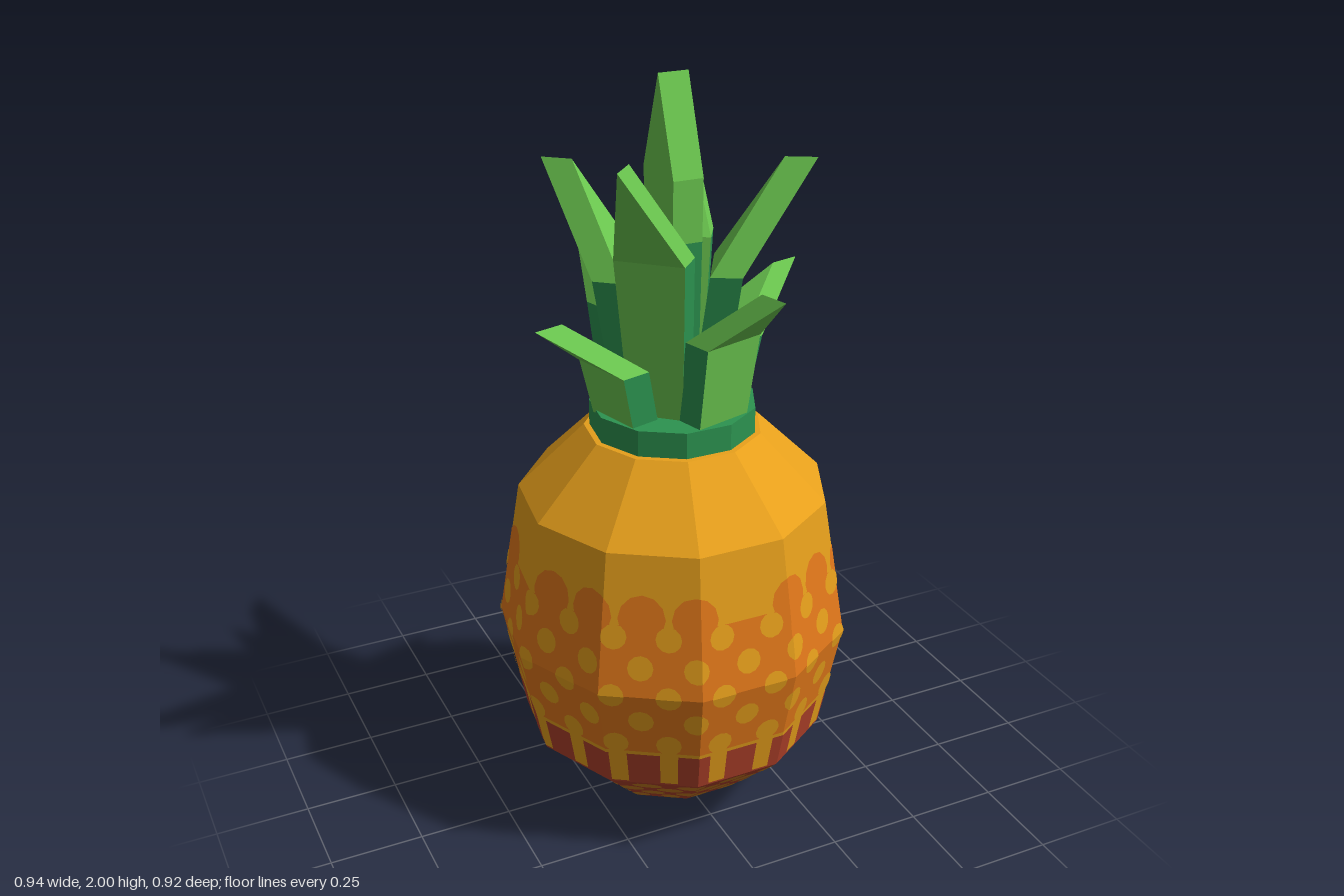
import * as THREE from 'three';

const mat = (name, color) => {
  const m = new THREE.MeshStandardMaterial({ color });
  m.name = name;
  return m;
};

const SIDES = 11;
const CENTRE_Z = 0.008;
// Body profile: [radius, height], closed at the top
const PROFILE = [[0, 0], [0.237, 0.065], [0.41, 0.235], [0.47, 0.54], [0.408, 0.915], [0.232, 1.09], [0, 1.1]];

function radiusAt(y) {
  for (let i = 1; i < PROFILE.length; i++) {
    const [r0, y0] = PROFILE[i - 1], [r1, y1] = PROFILE[i];
    if (y <= y1) return r0 + (r1 - r0) * (y - y0) / (y1 - y0);
  }
  return 0;
}

// Point on the faceted skin; u counts facets around the body
function skin(u, y, lift) {
  const i = Math.floor(u), f = u - i, r = radiusAt(y) + lift;
  const corner = k => Math.PI + k * 2 * Math.PI / SIDES;
  const a = corner(i), b = corner(i + 1);
  return [
    r * (Math.sin(a) * (1 - f) + Math.sin(b) * f), y,
    r * (Math.cos(a) * (1 - f) + Math.cos(b) * f)];
}

function flatMesh(name, positions, material) {
  const g = new THREE.BufferGeometry();
  g.setAttribute('position', new THREE.Float32BufferAttribute(positions, 3));
  g.computeVertexNormals();
  const m = new THREE.Mesh(g, material);
  m.name = name;
  return m;
}

// A slice of the body between two heights
function band(name, y0, y1, material) {
  const pts = [[radiusAt(y0), y0], ...PROFILE.filter(p => p[1] > y0 && p[1] < y1), [radiusAt(y1), y1]]
    .map(p => new THREE.Vector2(...p));
  const g = new THREE.LatheGeometry(pts, SIDES, Math.PI).toNonIndexed();
  g.computeVertexNormals();
  const m = new THREE.Mesh(g, material);
  m.name = name;
  return m;
}

// Half height of a patch across its width, from -1 to 1
const round = a => Math.sqrt(Math.max(0, 1 - a * a));
const block = () => 1;

// Thin painted patch in upright strips, folded where it crosses a body edge
function patch(out, shape, degrees, y, w, h, lift) {
  const u = (degrees - 180) * SIDES / 360;
  const du = w / (2 * Math.sin(Math.PI / SIDES) * radiusAt(y));
  const cuts = [-1, -0.87, -0.5, 0, 0.5, 0.87, 1];
  const fold = (Math.round(u) - u) / du;
  if (Math.abs(fold) < 1) cuts.push(fold);
  cuts.sort((a, b) => a - b);
  const at = (a, side) => skin(u + a * du, y + side * shape(a) * h, lift);
  for (let i = 1; i < cuts.length; i++) {
    const a = cuts[i - 1], b = cuts[i];
    if (b - a < 1e-4) continue;
    for (const [lo, hi] of [[-1, 0], [0, 1]]) {
      out.push(...at(a, lo), ...at(b, lo), ...at(b, hi));
      out.push(...at(a, lo), ...at(b, hi), ...at(a, hi));
    }
  }
}

// Leaf from cross-sections [distance, height, half width]; lower edges are dark
function leaf(name, angle, sections, thick, light, dark) {
  const rings = sections.map(([r, y, w]) => [
    [r - thick, y, w], [r + thick, y, w], [r + thick, y, -w], [r - thick, y, -w]]);
  const lightPos = [], darkPos = [];
  for (let s = 0; s < rings.length - 1; s++) {
    for (let k = 0; k < 4; k++) {
      const n = (k + 1) % 4, lo = rings[s], hi = rings[s + 1];
      const out = s === 0 && k % 2 === 0 ? darkPos : lightPos;
      out.push(...lo[k], ...lo[n], ...hi[n]);
      // the tip has no width, so its broad faces are single triangles
      if (sections[s + 1][2] > 0 || k % 2 === 0) out.push(...lo[k], ...hi[n], ...hi[k]);
    }
  }
  const g = new THREE.Group();
  g.name = name;
  g.add(flatMesh('leafBlade', lightPos, light), flatMesh('leafLowerEdges', darkPos, dark));
  g.rotation.y = -angle;
  return g;
}

export function createModel() {
  const yellow = mat('yellow', 0xe9a11c);
  const orange = mat('orange', 0xe2781a);
  const red = mat('red', 0xb0412a);
  const amber = mat('amber', 0xc47a1e);
  const light = mat('leafGreen', 0x6cc950);
  const dark = mat('deepGreen', 0x2c9350);

  const model = new THREE.Group();
  model.name = 'pineapple';

  // Body colour zones
  const body = new THREE.Group();
  body.name = 'body';
  body.position.z = CENTRE_Z;
  body.add(
    band('bodyBottom', 0, 0.24, red),
    band('bodyBlockZone', 0.24, 0.35, yellow),
    band('bodyMiddle', 0.35, 0.73, orange),
    band('bodyTop', 0.73, 1.1, yellow));

  // Painted pattern, repeated every 18 degrees: scalloped rim, spots and blocks
  const scallops = [], spots = [], blocks = [], lowSpots = [];
  for (let d = 0; d < 360; d += 18) {
    if (d % 90) patch(scallops, round, d, 0.75, 0.06, 0.062, 0.0015);
    [0.7, 0.62, 0.54, 0.46, 0.38].forEach((y, row) =>
      patch(spots, round, d + (row % 2 ? 0 : 9), y, 0.033, 0.034, 0.003));
    patch(blocks, block, d, 0.29, 0.042, 0.05, 0.0015);
    [[0.205, 0.04, 0.022], [0.165, 0.036, 0.022], [0.125, 0.032, 0.02], [0.09, 0.026, 0.018]]
      .forEach(([y, w, h], row) => patch(lowSpots, round, d + (row % 2 ? 9 : 0), y, w, h, 0.002));
  }
  for (let d = 0; d < 360; d += 60) patch(lowSpots, round, d, 0.04, 0.026, 0.009, 0.004);
  body.add(
    flatMesh('scallopedRim', scallops, orange),
    flatMesh('spots', spots, yellow),
    flatMesh('redBlocks', blocks, red),
    flatMesh('lowerSpots', lowSpots, amber));
  model.add(body);

  // Collar under the leaves
  const collarGeo = new THREE.CylinderGeometry(0.217, 0.217, 0.09, SIDES, 1, false, Math.PI).toNonIndexed();
  collarGeo.computeVertexNormals();
  const collar = new THREE.Mesh(collarGeo, dark);
  collar.name = 'collar';
  collar.position.set(0, 1.115, CENTRE_Z);
  model.add(collar);

  // Centre leaf
  const centre = leaf('centreLeaf', 0,
    [[0, 1.15, 0.06], [0, 1.6, 0.08], [0, 1.76, 0.085], [0, 2, 0]], 0.04, light, dark);
  centre.position.z = CENTRE_Z;
  model.add(centre);

  // Tall inner leaves: tip x, tip z, tip height
  for (const [x, z, y] of [[0.2, -0.335, 1.84], [-0.27, 0.29, 1.86], [0.305, 0.175, 1.8], [-0.255, -0.215, 1.77]]) {
    const r = Math.hypot(x, z) - 0.04;
    model.add(leaf('tallLeaf', Math.atan2(z, x),
      [[0.09, 1.15, 0.07], [0.14, y - 0.28, 0.09], [r, y, 0]], 0.04, light, dark));
  }

  // Short outer leaves
  for (const [x, z, y] of [[0.41, -0.1, 1.45], [-0.41, 0.115, 1.45], [-0.11, -0.365, 1.53], [0.11, 0.385, 1.53]]) {
    const r = Math.hypot(x, z) - 0.04;
    model.add(leaf('shortLeaf', Math.atan2(z, x),
      [[0.155, 1.15, 0.08], [0.19, y - 0.15, 0.087], [r, y, 0]], 0.04, light, dark));
  }
  return model;
}
